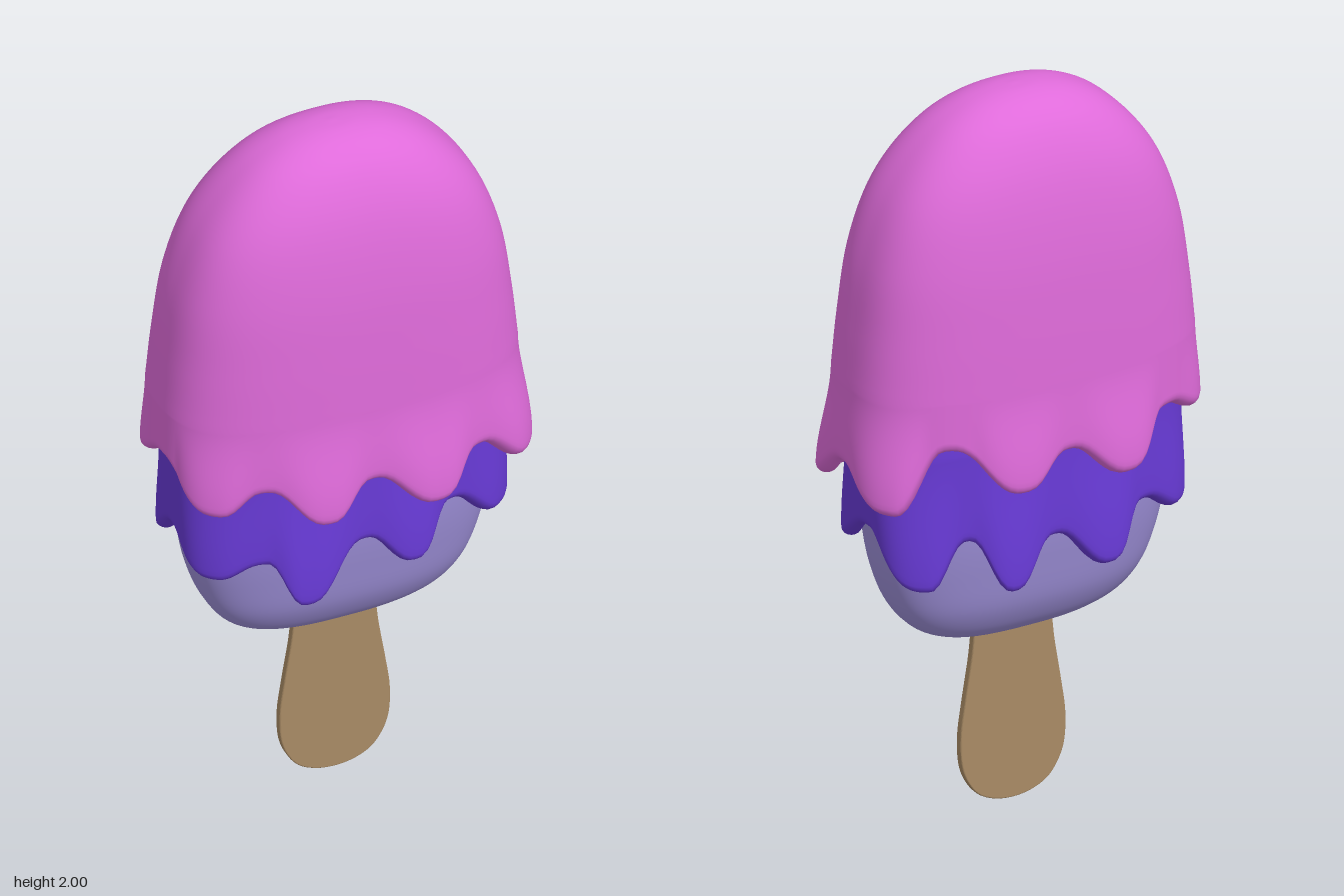
import * as THREE from 'three';
import { mergeVertices } from 'three/addons/utils/BufferGeometryUtils.js';

const SEGMENTS = 180;
const SQUARENESS = 2.75;
const smooth = (t) => t * t * (3 - 2 * t);

// Point on a rounded-rectangle (superellipse) ring.
function ringPoint(a, rx, y, rz, n) {
  const c = Math.cos(a), s = Math.sin(a);
  const k = 1 / Math.pow(Math.abs(c) ** n + Math.abs(s) ** n, 1 / n);
  return [rx * c * k, y, rz * s * k];
}

// Joins rings of points, listed from top to bottom, into a smooth skin.
function skin(rings) {
  const index = [];
  for (let r = 0; r < rings.length - 1; r++) {
    for (let i = 0; i < SEGMENTS; i++) {
      const j = (i + 1) % SEGMENTS;
      const a = r * SEGMENTS + i, b = r * SEGMENTS + j;
      index.push(a, b, a + SEGMENTS, b, b + SEGMENTS, a + SEGMENTS);
    }
  }
  const geo = new THREE.BufferGeometry();
  geo.setAttribute('position', new THREE.Float32BufferAttribute(rings.flat(2), 3));
  geo.setIndex(index);
  const merged = mergeVertices(geo, 1e-5);
  merged.computeVertexNormals();
  return merged;
}

// Rings following a profile of [half width, height, half depth].
function profileRings(profile, steps, roundTop) {
  const curve = new THREE.CatmullRomCurve3(profile.map((p) => new THREE.Vector3(...p)), false, 'centripetal');
  const rings = [];
  for (let r = 0; r <= steps; r++) {
    const p = curve.getPoint(r / steps);
    const n = roundTop ? 2.2 + (SQUARENESS - 2.2) * smooth(Math.min(1, r / steps / 0.7)) : SQUARENESS;
    rings.push(Array.from({ length: SEGMENTS }, (_, i) =>
      ringPoint((i / SEGMENTS) * Math.PI * 2, Math.max(0, p.x), p.y, Math.max(0, p.z), n)));
  }
  return rings;
}

// Wavy hem height around the bar from alternating [x, z, y] drips and peaks.
function hemFunction(points, rx, rz) {
  const TAU = Math.PI * 2;
  const keys = points
    .map(([x, z, y]) => [(Math.atan2(z / rz, x / rx) + TAU) % TAU, y])
    .sort((a, b) => a[0] - b[0]);
  keys.unshift([keys[keys.length - 1][0] - TAU, keys[keys.length - 1][1]]);
  keys.push([keys[1][0] + TAU, keys[1][1]]);
  return (a) => {
    const i = keys.findIndex((k) => k[0] > a);
    const [a0, y0] = keys[i - 1], [a1, y1] = keys[i];
    return y0 + (y1 - y0) * THREE.MathUtils.smootherstep(a, a0, a1);
  };
}

// Skirt that swells at the drips and ends in a rolled lip.
function skirtRings({ top, from, to, hem, low, high, swell, lip }) {
  const rings = [];
  const addRing = (v, inset, lift) => rings.push(Array.from({ length: SEGMENTS }, (_, i) => {
    const a = (i / SEGMENTS) * Math.PI * 2;
    const edge = hem(a);
    const bulge = swell * THREE.MathUtils.clamp((high - edge) / (high - low), 0, 1);
    const y = top + (edge + lip - top) * v + lift;
    const out = bulge * smooth(v) - inset;
    return ringPoint(a, from[0] + (to[0] - from[0]) * v + out, y, from[1] + (to[1] - from[1]) * v + out, SQUARENESS);
  }));
  for (let r = 1; r <= 20; r++) addRing(r / 20, 0, 0);
  for (let k = 1; k <= 8; k++) {
    const t = (k / 8) * Math.PI;
    addRing(1, lip * (1 - Math.cos(t)), -lip * Math.sin(t));
  }
  addRing(1, lip * 2 + 0.06, 0.01);
  return rings;
}

export function createModel() {
  const group = new THREE.Group();
  const material = (name, color) => {
    const m = new THREE.MeshStandardMaterial({ color });
    m.name = name;
    return m;
  };
  const add = (name, geometry, mat) => {
    const mesh = new THREE.Mesh(geometry, mat);
    mesh.name = name;
    mesh.position.z = -0.007;
    group.add(mesh);
  };

  // Pale ice cream core, closed at the bottom
  add('iceCreamCore', skin(profileRings([
    [0.415, 1.05, 0.195], [0.415, 0.92, 0.195], [0.405, 0.82, 0.188], [0.387, 0.72, 0.172],
    [0.35, 0.62, 0.15], [0.3, 0.555, 0.118], [0.225, 0.515, 0.083], [0.14, 0.498, 0.052],
    [0.07, 0.492, 0.026], [0, 0.49, 0],
  ], 48, false)), material('lavender', 0x9d8fd8));

  // Middle coating
  const middleHem = hemFunction([
    [-0.28, 0.2, 0.82], [-0.16, 0.21, 0.69], [0, 0.21, 0.835], [0.13, 0.21, 0.74], [0.255, 0.2, 0.87],
    [0.4, 0.15, 0.78], [0.44, -0.025, 0.87], [0.36, -0.18, 0.73], [0.25, -0.2, 0.85],
    [0.12, -0.21, 0.7], [0, -0.21, 0.82], [-0.15, -0.21, 0.71], [-0.28, -0.2, 0.84],
    [-0.4, -0.14, 0.78], [-0.44, 0, 0.87], [-0.39, 0.15, 0.78],
  ], 0.45, 0.215);
  add('middleCoating', skin([
    ...profileRings([[0.43, 1.2, 0.205], [0.448, 1.1, 0.213]], 4, false),
    ...skirtRings({
      top: 1.1, from: [0.448, 0.213], to: [0.44, 0.21], hem: middleHem,
      low: 0.7, high: 0.87, swell: 0.032, lip: 0.024,
    }),
  ]), material('violet', 0x683ad6));

  // Top coating: dome plus dripping skirt
  const topHem = hemFunction([
    [-0.29, 0.23, 1.07], [-0.115, 0.25, 0.96], [0, 0.25, 1.05], [0.17, 0.25, 0.945], [0.305, 0.23, 1.05],
    [0.425, 0.16, 0.955], [0.48, 0.01, 1.05], [0.43, -0.16, 0.965], [0.32, -0.22, 1.13],
    [0.11, -0.25, 0.99], [-0.02, -0.25, 1.07], [-0.18, -0.25, 0.975], [-0.33, -0.22, 1.1],
    [-0.44, -0.14, 1.05], [-0.48, 0.04, 1.12], [-0.385, 0.19, 1.01],
  ], 0.485, 0.253);
  add('topCoating', skin([
    ...profileRings([
      [0, 2, 0], [0.075, 1.995, 0.045], [0.15, 1.976, 0.09], [0.235, 1.93, 0.14], [0.318, 1.85, 0.184],
      [0.383, 1.75, 0.214], [0.435, 1.6, 0.237], [0.463, 1.42, 0.248], [0.479, 1.27, 0.253],
    ], 48, true),
    ...skirtRings({
      top: 1.27, from: [0.479, 0.253], to: [0.482, 0.254], hem: topHem,
      low: 0.95, high: 1.09, swell: 0.036, lip: 0.026,
    }),
  ]), material('pink', 0xdf6bda));

  // Flat wooden stick, wider toward its rounded end
  const half = [[0.106, 0.52], [0.115, 0.42], [0.134, 0.3], [0.147, 0.2], [0.141, 0.11], [0.108, 0.045], [0.06, 0.014]];
  const outline = [...half, [0, 0.004], ...half.map(([x, y]) => [-x, y]).reverse()];
  const shape = new THREE.Shape();
  shape.moveTo(...outline[0]);
  shape.splineThru(outline.slice(1).map((p) => new THREE.Vector2(...p)));
  shape.closePath();
  const stick = new THREE.ExtrudeGeometry(shape, {
    depth: 0.014, curveSegments: 60, bevelThickness: 0.005, bevelSize: 0.004, bevelSegments: 3,
  });
  stick.translate(0.005, 0, -0.007);
  add('stick', stick, material('wood', 0xa98b65));

  return group;
}
